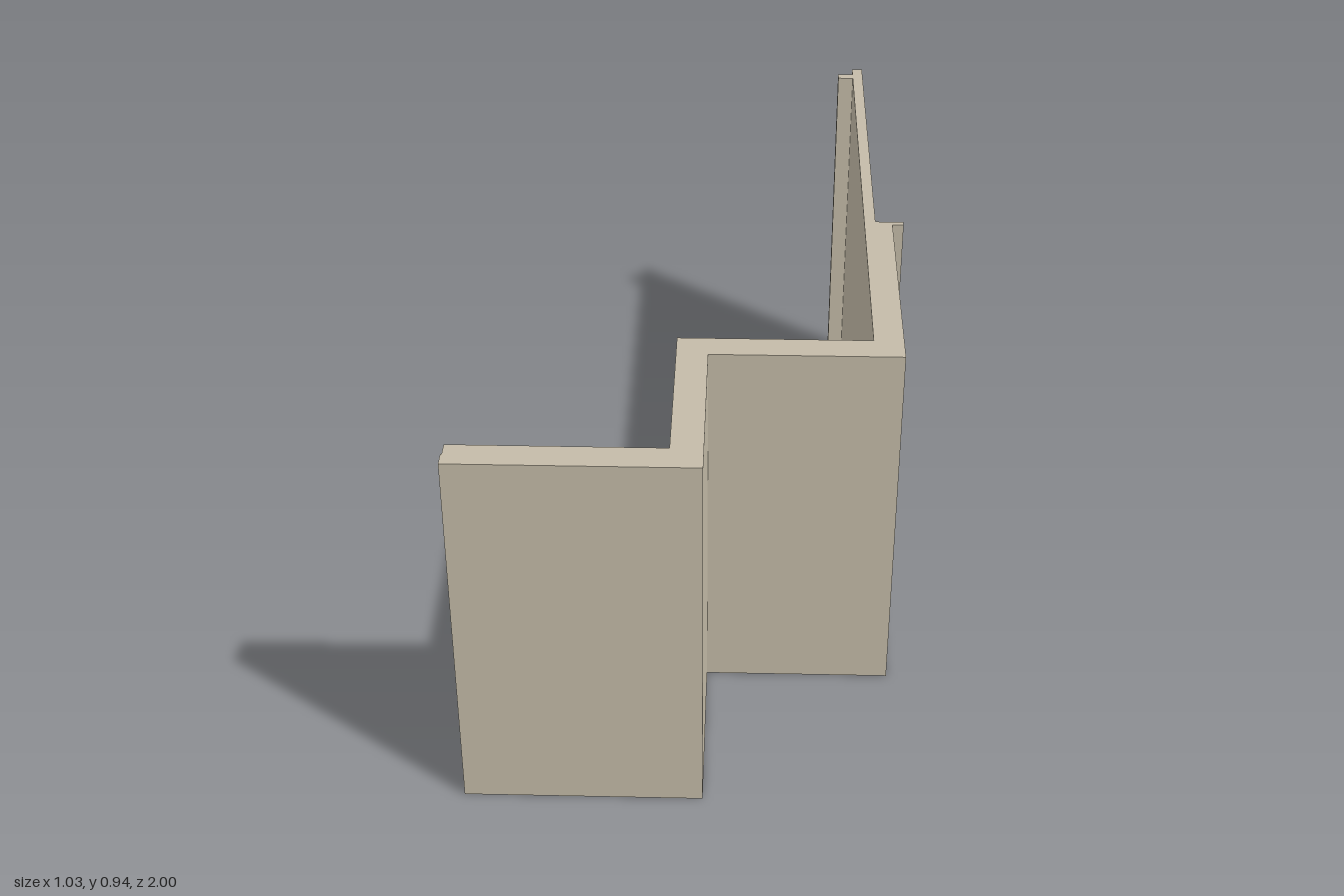
import * as THREE from 'three';

const HEIGHT = 0.94;

export function createModel() {
  const model = new THREE.Group();
  model.name = 'steppedWall';
  const beige = new THREE.MeshStandardMaterial({ color: 0xc4bba8 });
  beige.name = 'beige';

  // Raises a plan outline of [x, z] corners to the full height
  const addPart = (name, plan) => {
    const shape = new THREE.Shape(plan.map(([x, z]) => new THREE.Vector2(x, -z)));
    const geometry = new THREE.ExtrudeGeometry(shape, { depth: HEIGHT, bevelEnabled: false });
    geometry.rotateX(-Math.PI / 2);
    const mesh = new THREE.Mesh(geometry, beige);
    mesh.name = name;
    model.add(mesh);
  };

  // Zigzag wall with a shallow step in its front end
  addPart('zigzagWall', [
    [-0.515, 1], [0.04, 1], [0.04, 0.553], [0.487, 0.553], [0.487, -0.07],
    [0.417, -0.07], [0.417, 0.483], [-0.033, 0.483], [-0.033, 0.928],
    [-0.512, 0.928], [-0.512, 0.964], [-0.515, 0.964],
  ]);

  // Thin rear panel
  addPart('rearPanel', [[0.417, -0.07], [0.445, -0.07], [0.445, -1], [0.417, -1]]);

  // Outer strip where the thick wall meets the thin panel
  addPart('outerStrip', [[0.445, -0.07], [0.515, -0.07], [0.515, -0.086], [0.445, -0.086]]);

  // Inner strip near the rear end
  addPart('innerStrip', [[0.376, -0.939], [0.417, -0.939], [0.417, -0.965], [0.376, -0.965]]);

  return model;
}
